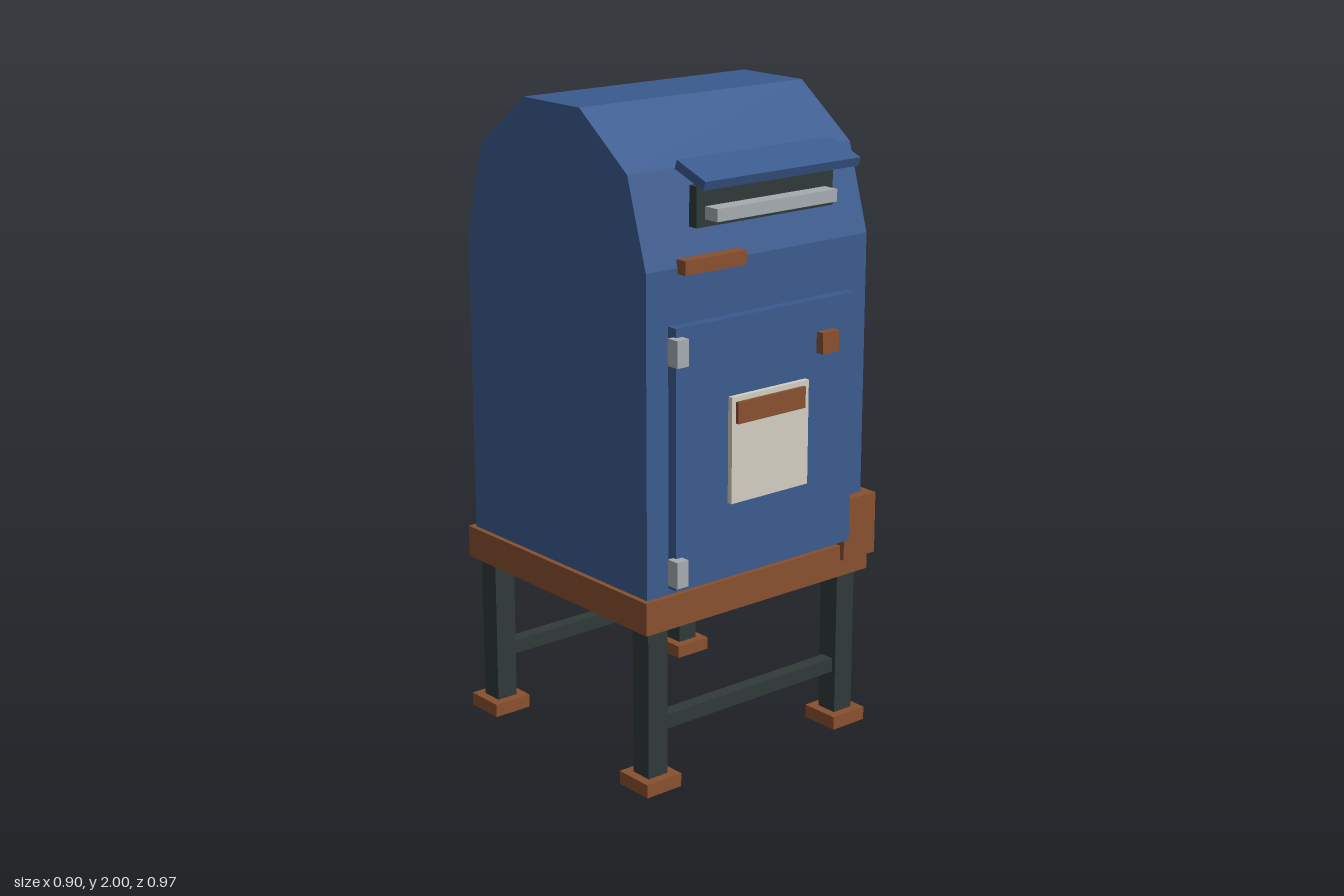
import * as THREE from 'three';

const mat = (name, color) => {
  const m = new THREE.MeshStandardMaterial({ color, flatShading: true });
  m.name = name;
  return m;
};

export function createModel() {
  const blue = mat('blue paint', 0x3a5b8e);
  const rust = mat('rust brown', 0x88502f);
  const iron = mat('dark iron', 0x2f3a39);
  const steel = mat('light steel', 0xa4abaf);
  const paper = mat('paper', 0xd2cec2);

  const group = new THREE.Group();
  group.name = 'mailbox';

  // Box given by its min and max along each axis
  const box = (name, material, [x0, x1], [y0, y1], [z0, z1]) => {
    const mesh = new THREE.Mesh(new THREE.BoxGeometry(x1 - x0, y1 - y0, z1 - z0), material);
    mesh.position.set((x0 + x1) / 2, (y0 + y1) / 2, (z0 + z1) / 2);
    mesh.name = name;
    group.add(mesh);
    return mesh;
  };

  // Body: faceted arch profile (z, y) extruded across the width
  const profile = [
    [0.383, 0.61], [0.383, 1.575], [0.303, 1.84], [0.09, 2],
    [-0.173, 2], [-0.386, 1.84], [-0.466, 1.575], [-0.466, 0.61],
  ];
  const shape = new THREE.Shape(profile.map(([z, y]) => new THREE.Vector2(-z, y)));
  const bodyGeometry = new THREE.ExtrudeGeometry(shape, { depth: 0.85, bevelEnabled: false });
  bodyGeometry.rotateY(Math.PI / 2).translate(-0.435, 0, 0);
  const body = new THREE.Mesh(bodyGeometry, blue);
  body.name = 'body';
  group.add(body);

  // Base tray and the patch wrapped over its front corner
  box('base', rust, [-0.451, 0.432], [0.51, 0.61], [-0.485, 0.4]);
  box('cornerPatch', rust, [0.317, 0.448], [0.565, 0.76], [0.285, 0.416]);

  // Legs with feet, and a crossbar between each pair
  for (const z of [0.338, -0.42]) {
    for (const x of [-0.388, 0.367]) {
      box('leg', iron, [x - 0.036, x + 0.036], [0.04, 0.51], [z - 0.036, z + 0.036]);
      box('foot', rust, [x - 0.065, x + 0.065], [0, 0.042], [z - 0.065, z + 0.065]);
    }
    box('crossbar', iron, [-0.355, 0.333], [0.176, 0.221], [z - 0.022, z + 0.022]);
  }

  // Door with hinges, latch and notice
  box('door', blue, [-0.355, 0.335], [0.63, 1.412], [0.38, 0.418]);
  for (const y of [0.69, 1.346]) {
    box('hinge', steel, [-0.375, -0.333], [y - 0.04, y + 0.04], [0.405, 0.447]);
  }
  box('latch', rust, [0.185, 0.25], [1.25, 1.315], [0.415, 0.445]);
  box('notice', paper, [-0.16, 0.14], [0.858, 1.18], [0.415, 0.435]);
  box('noticeStrip', rust, [-0.145, 0.118], [1.1, 1.165], [0.43, 0.446]);

  // Mail slot, its lip and the tilted hood
  box('slot', iron, [-0.27, 0.25], [1.684, 1.802], [0.373, 0.405]);
  box('slotLip', steel, [-0.24, 0.218], [1.706, 1.743], [0.405, 0.458]);
  const hood = box('hood', blue, [-0.305, 0.285], [1.826, 1.854], [0.352, 0.482]);
  hood.rotation.x = 0.35;

  // Rust streak below the slot
  box('rustStrip', rust, [-0.321, -0.094], [1.558, 1.6], [0.378, 0.418]);

  return group;
}
